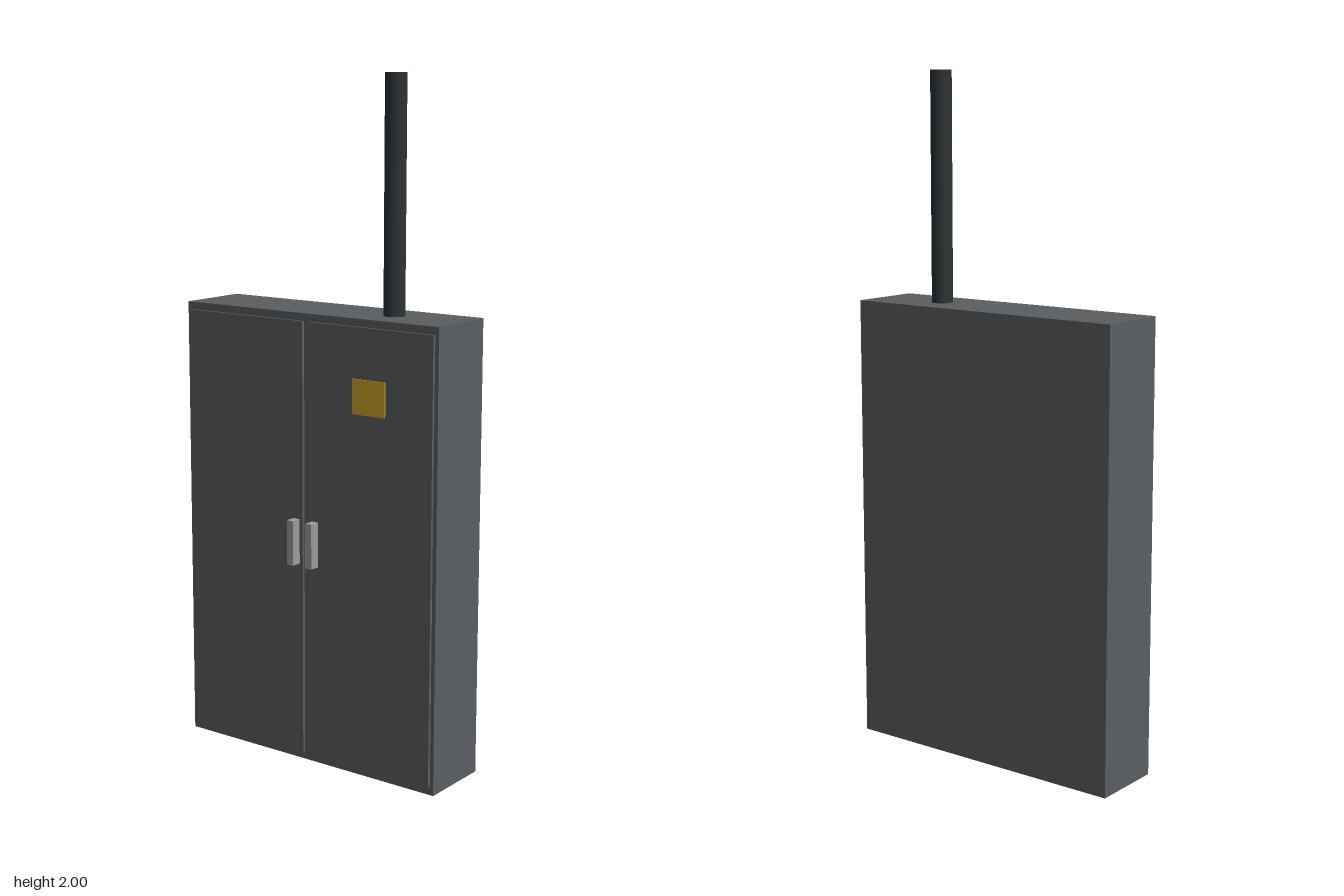
import * as THREE from 'three';

export function createModel() {
  const model = new THREE.Group();
  const paint = (color) => new THREE.MeshStandardMaterial({ color });
  const steel = paint(0x5a5e62);
  const darkPipe = paint(0x2d3336);
  const metal = paint(0x9a9c9e);
  const yellow = paint(0xc9a227);

  const add = (name, geometry, material, x, y, z) => {
    const mesh = new THREE.Mesh(geometry, material);
    mesh.name = name;
    mesh.position.set(x, y, z);
    model.add(mesh);
  };
  // Box placed by its base height and its back face
  const box = (name, w, h, d, material, x, base, back) =>
    add(name, new THREE.BoxGeometry(w, h, d), material, x, base + h / 2, back + d / 2);

  // Cabinet body
  box('cabinet', 0.889, 1.333, 0.222, steel, 0, 0, -0.131);

  // Two doors with a handle either side of the gap
  for (const [side, s] of [['left', 1], ['right', -1]]) {
    box(side + 'Door', 0.422, 1.289, 0.02, steel, s * 0.222, 0.022, 0.08);
    box(side + 'Handle', 0.022, 0.133, 0.031, metal, s * 0.033, 0.601, 0.1);
  }

  // Warning plate on the left door
  box('warningPlate', 0.111, 0.1, 0.006, yellow, 0.222, 1.066, 0.098);

  // Conduit rising from the cabinet top
  add('conduit', new THREE.CylinderGeometry(0.031, 0.031, 0.667, 16), darkPipe, 0.222, 1.6665, -0.02);

  return model;
}
